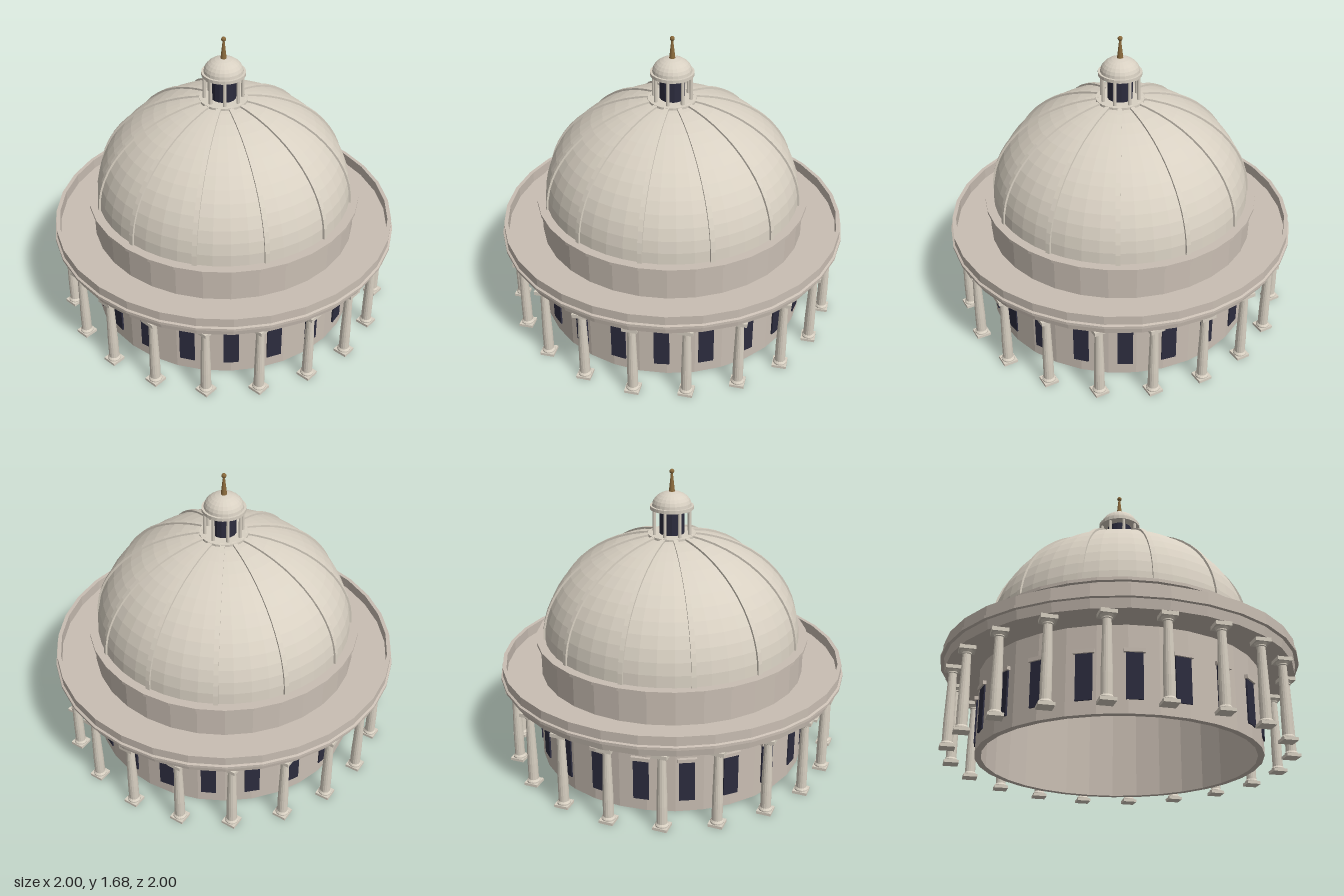
import * as THREE from 'three';

const material = (name, color) => {
  const m = new THREE.MeshStandardMaterial({ color });
  m.name = name;
  return m;
};

export function createModel() {
  const paleStone = material('paleStone', 0xd8d0c2);
  const warmStone = material('warmStone', 0xc9beb3);
  const darkGlass = material('darkGlass', 0x2c2c3e);
  const bronze = material('bronze', 0x8a6a3c);

  const model = new THREE.Group();
  model.name = 'domedRotunda';

  const add = (name, geometry, mat, parent = model) => {
    const mesh = new THREE.Mesh(geometry, mat);
    mesh.name = name;
    parent.add(mesh);
    return mesh;
  };
  // Faceted solid of revolution; profile runs up the outside, then down the inside
  const turned = (profile, sides) => {
    const g = new THREE.LatheGeometry(profile.map(([r, y]) => new THREE.Vector2(r, y)), sides).toNonIndexed();
    g.computeVertexNormals();
    return g;
  };
  const box = (w, h, d, x, y, z) => new THREE.BoxGeometry(w, h, d).translate(x, y, z);
  // Quarter ellipse from the rim (t = 0) towards the crown
  const arc = (r, h, y0, steps, tEnd) => Array.from({ length: steps + 1 }, (_, i) => {
    const t = tEnd * i / steps;
    return [Math.max(0, r * Math.cos(t)), y0 + h * Math.sin(t)];
  });

  // Hollow main wall, colonnade entablature with recessed roof, and upper drum
  add('drumWall', turned([[0.745, 0], [0.78, 0], [0.78, 0.47], [0.745, 0.47], [0.745, 0]], 32), warmStone);
  add('entablature', turned([
    [0.745, 0.455], [0.97, 0.455], [0.978, 0.505], [0.998, 0.505], [0.998, 0.52],
    [0.987, 0.525], [0.987, 0.577], [0.965, 0.577], [0.965, 0.515], [0.745, 0.515], [0.745, 0.455],
  ], 32), warmStone);
  add('upperDrum', turned([[0.745, 0.5], [0.763, 0.5], [0.763, 0.705], [0.745, 0.705], [0.745, 0.5]], 32), warmStone);
  add('drumCornice', turned([[0.715, 0.7], [0.785, 0.7], [0.785, 0.717], [0.715, 0.717], [0.715, 0.7]], 32), warmStone);

  // Windows set between the columns
  const windows = new THREE.Group();
  windows.name = 'windows';
  model.add(windows);
  for (let i = 0; i < 20; i++) {
    const bay = new THREE.Group();
    bay.name = 'windowBay';
    bay.rotation.y = (i + 0.5) * Math.PI / 10;
    windows.add(bay);
    add('windowPane', box(0.085, 0.24, 0.03, 0, 0.19, 0.77), darkGlass, bay);
    add('windowLintel', box(0.105, 0.02, 0.04, 0, 0.318, 0.775), warmStone, bay);
  }

  // Ring of columns, with square plinths all aligned the same way
  const shaft = turned([
    [0, 0.012], [0.037, 0.012], [0.037, 0.024], [0.029, 0.034], [0.029, 0.14],
    [0.022, 0.415], [0.026, 0.418], [0.026, 0.424], [0.036, 0.437], [0, 0.437],
  ], 16);
  const plinth = box(0.08, 0.016, 0.08, 0, 0.008, 0);
  const abacus = box(0.084, 0.022, 0.084, 0, 0.446, 0);
  for (let i = 0; i < 20; i++) {
    const a = i * Math.PI / 10;
    const column = new THREE.Group();
    column.name = 'column';
    column.position.set(0.925 * Math.sin(a), 0, 0.925 * Math.cos(a));
    model.add(column);
    add('columnShaft', shaft, paleStone, column);
    add('columnPlinth', plinth, paleStone, column);
    add('columnAbacus', abacus, paleStone, column);
  }

  // Dome shell
  const outer = arc(0.735, 0.6, 0.715, 14, Math.PI / 2);
  const inner = arc(0.715, 0.58, 0.715, 14, Math.PI / 2).reverse();
  add('dome', turned([...outer, ...inner, outer[0]], 48), paleStone);

  // Twelve raised ribs
  const ribTop = Math.acos(0.16);
  const ribOutline = [
    ...arc(0.745, 0.611, 0.715, 14, ribTop),
    ...arc(0.72, 0.585, 0.715, 14, ribTop).reverse(),
  ].map(([x, y]) => new THREE.Vector2(x, y));
  const rib = new THREE.ExtrudeGeometry(new THREE.Shape(ribOutline), { depth: 0.026, bevelEnabled: false });
  rib.translate(0, 0, -0.013);
  for (let i = 0; i < 12; i++) add('domeRib', rib, paleStone).rotation.y = i * Math.PI / 6;

  // Lantern
  const lantern = new THREE.Group();
  lantern.name = 'lantern';
  model.add(lantern);
  const ring = (name, r, y0, y1) =>
    add(name, turned([[0, y0], [r, y0], [r, y1], [0, y1]], 24), paleStone, lantern);
  ring('lanternBase', 0.136, 1.296, 1.317);
  add('lanternCore', turned([[0.07, 1.31], [0.07, 1.462]], 16), darkGlass, lantern);
  for (let i = 0; i < 8; i++) {
    const a = i * Math.PI / 4;
    const post = new THREE.CylinderGeometry(0.009, 0.01, 0.15, 8);
    post.translate(0.106 * Math.sin(a), 1.387, 0.106 * Math.cos(a));
    add('lanternColumn', post, paleStone, lantern);
  }
  ring('lanternCornice', 0.122, 1.457, 1.476);
  add('lanternDome', turned(arc(0.11, 0.082, 1.474, 7, Math.PI / 2), 24), paleStone, lantern);

  // Bronze finial
  add('finialSpire', new THREE.CylinderGeometry(0.005, 0.018, 0.115, 12).translate(0, 1.603, 0), bronze, lantern);
  add('finialBall', new THREE.SphereGeometry(0.0135, 12, 8).translate(0, 1.666, 0), bronze, lantern);

  return model;
}
